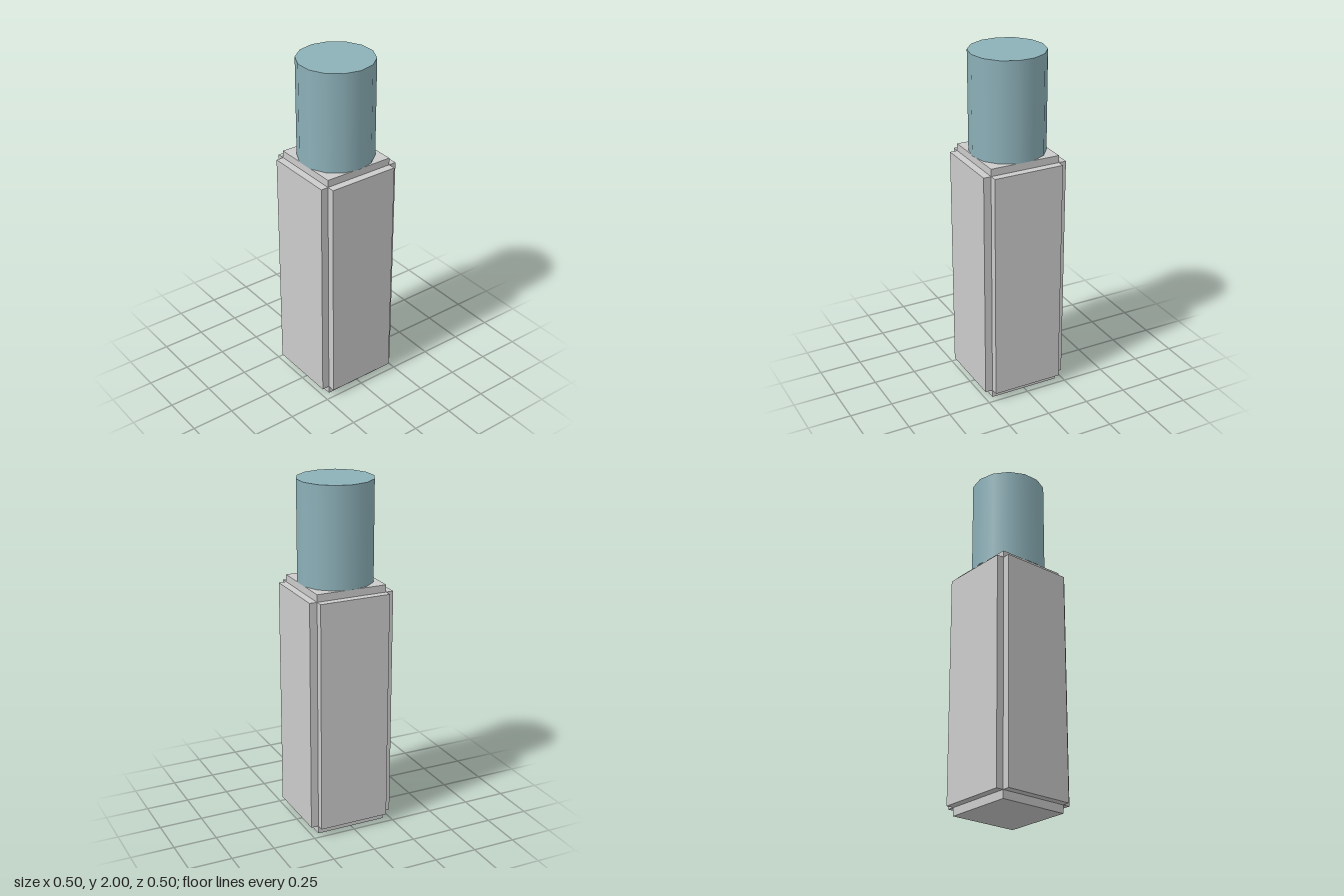
import * as THREE from 'three';

export function createModel() {
  const model = new THREE.Group();
  const grey = new THREE.MeshStandardMaterial({ color: 0xcccccc });
  const teal = new THREE.MeshStandardMaterial({ color: 0x8cb0b8 });

  const add = (name, geometry, material, x, y, z) => {
    const mesh = new THREE.Mesh(geometry, material);
    mesh.name = name;
    mesh.position.set(x, y, z);
    model.add(mesh);
    return mesh;
  };

  const width = 0.413, coreTop = 1.43;
  const panelDepth = 0.044, panelBottom = 0.047, panelTop = 1.388;

  // Square core
  add('bodyCore', new THREE.BoxGeometry(width, coreTop, width), grey, 0, coreTop / 2, 0);

  // Raised panel on each of the four sides, leaving notched corners
  const panel = new THREE.BoxGeometry(width, panelTop - panelBottom, panelDepth);
  const offset = (width + panelDepth) / 2;
  ['frontPanel', 'leftPanel', 'backPanel', 'rightPanel'].forEach((name, i) => {
    const a = (i * Math.PI) / 2;
    add(name, panel, grey, Math.sin(a) * offset, (panelTop + panelBottom) / 2, Math.cos(a) * offset).rotation.y = a;
  });

  // Round cap on top
  const capHeight = 2 - coreTop;
  add('cap', new THREE.CylinderGeometry(0.214, 0.214, capHeight, 14), teal, 0, coreTop + capHeight / 2, 0);

  return model;
}
